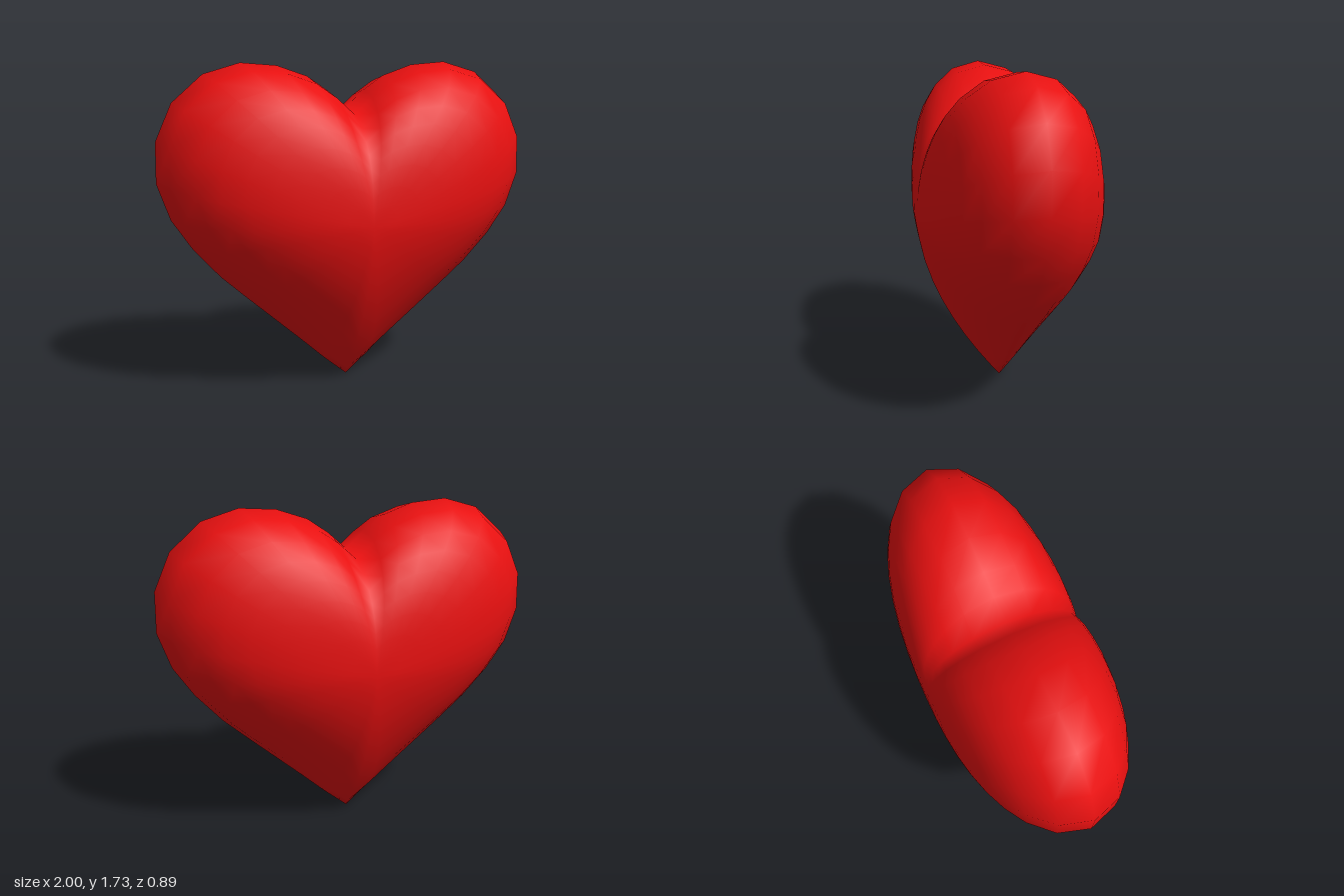
import * as THREE from 'three';

// Right half of the heart outline, from the notch round to the bottom tip
const half = [
  [0, 1.49], [0.1, 1.58], [0.21, 1.655], [0.37, 1.71], [0.56, 1.725], [0.75, 1.67],
  [0.91, 1.53], [0.995, 1.34], [1, 1.13], [0.935, 0.94], [0.83, 0.78], [0.69, 0.62],
  [0.56, 0.5], [0.41, 0.365], [0.26, 0.23], [0.13, 0.11], [0, 0],
];
const CENTRE_Y = 0.93, DEPTH = 0.447;

// Thickness at fraction s from the centre to the rim: round for the lobes, pointed at the tip
function thickness(s, rimY) {
  const tip = Math.pow(Math.max(0, 1 - rimY), 1.4);
  const round = Math.sqrt(1 - Math.pow(s, 2.5));
  const pointed = 1 - Math.pow(s, 1.8);
  return DEPTH * THREE.MathUtils.lerp(round, pointed, tip);
}

function heartGeometry() {
  const outline = [...half, ...half.slice(1, -1).reverse().map(([x, y]) => [-x, y])];
  const n = outline.length;

  // Rings run from the front centre out to the rim and back to the rear centre
  const steps = [0, 0.12, 0.25, 0.38, 0.5, 0.62, 0.73, 0.84, 0.95];
  const rings = [
    ...steps.map((s) => [s, 1]), [1, 0], ...steps.slice().reverse().map((s) => [s, -1]),
  ];
  const positions = [], indices = [];
  for (const [s, side] of rings) {
    for (const [x, y] of outline) {
      positions.push(x * s, CENTRE_Y + (y - CENTRE_Y) * s, side * thickness(s, y));
    }
  }

  // Each centre ring shares a single vertex
  const last = rings.length - 1;
  const id = (i, j) => i * n + (i === 0 || i === last ? 0 : j % n);
  for (let i = 0; i < last; i++) {
    for (let j = 0; j < n; j++) {
      const a = id(i, j), b = id(i, j + 1), c = id(i + 1, j), d = id(i + 1, j + 1);
      if (a !== b) indices.push(a, b, c);
      if (c !== d) indices.push(b, d, c);
    }
  }
  const geometry = new THREE.BufferGeometry();
  geometry.setAttribute('position', new THREE.Float32BufferAttribute(positions, 3));
  geometry.setIndex(indices);
  geometry.computeVertexNormals();
  return geometry;
}

export function createModel() {
  const group = new THREE.Group();
  group.name = 'heart';
  const body = new THREE.Mesh(heartGeometry(), new THREE.MeshStandardMaterial({ color: 0xe81010 }));
  body.name = 'heartBody';
  group.add(body);
  return group;
}
